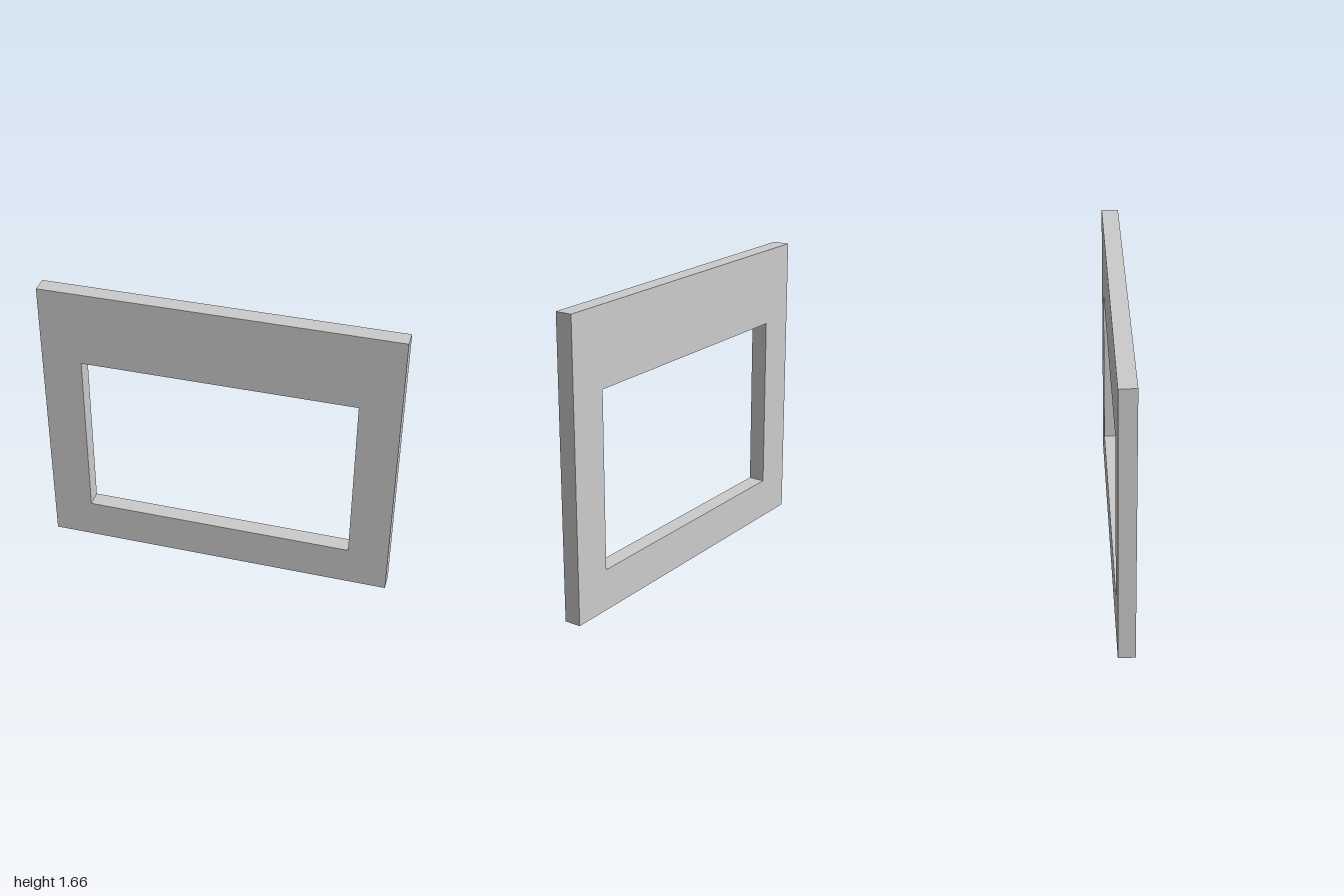
import * as THREE from 'three';

const WIDTH = 2, HEIGHT = 1.663, DEPTH = 0.095;
const OPENING = { halfWidth: 0.772, bottom: 0.233, top: 1.226 };

// Traces a rectangle, symmetric about x = 0, onto a shape or path
function rectangle(path, halfWidth, bottom, top) {
  path.moveTo(-halfWidth, bottom);
  path.lineTo(halfWidth, bottom);
  path.lineTo(halfWidth, top);
  path.lineTo(-halfWidth, top);
  path.closePath();
  return path;
}

export function createModel() {
  const group = new THREE.Group();
  group.name = 'windowPanel';

  // Flat panel with one rectangular opening, deeper above than below
  const outline = rectangle(new THREE.Shape(), WIDTH / 2, 0, HEIGHT);
  outline.holes.push(rectangle(new THREE.Path(), OPENING.halfWidth, OPENING.bottom, OPENING.top));

  const geometry = new THREE.ExtrudeGeometry(outline, { depth: DEPTH, bevelEnabled: false });
  geometry.translate(0, 0, -DEPTH / 2);

  const frame = new THREE.Mesh(geometry, new THREE.MeshStandardMaterial({ color: 0xcccccc }));
  frame.name = 'frame';
  group.add(frame);
  return group;
}
